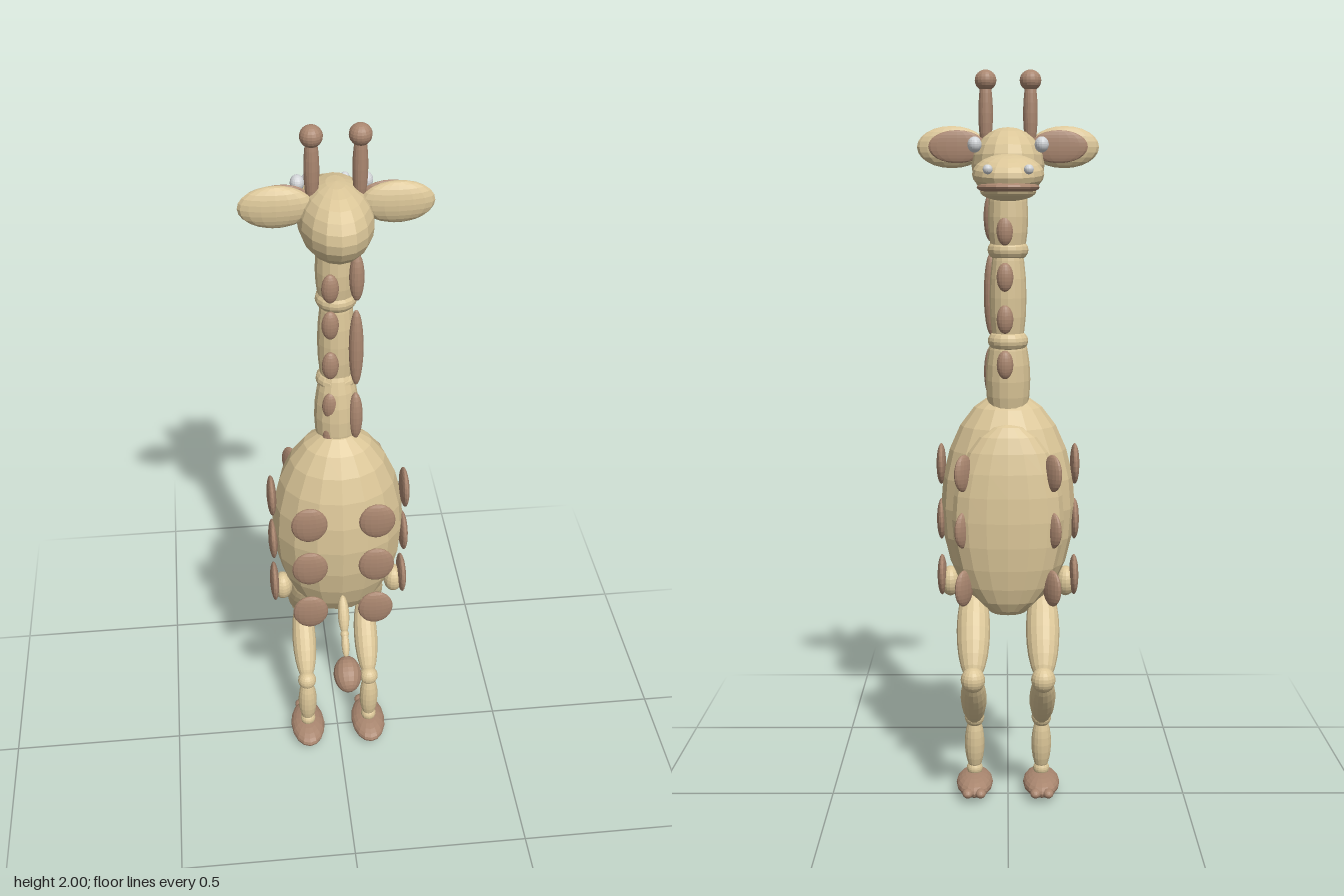
import * as THREE from 'three';

const make = (name, color) => {
  const m = new THREE.MeshStandardMaterial({ color });
  m.name = name;
  m.flatShading = true;
  return m;
};

export function createModel() {
  const model = new THREE.Group();
  model.name = 'giraffe';
  const tan = make('tan hide', 0xdbc698);
  const brown = make('brown patch', 0xa9866f);
  const white = make('eye white', 0xd2d5d8);

  // Every part is a faceted ellipsoid
  const ball = new THREE.SphereGeometry(1, 16, 12);
  const blob = (name, mat, pos, radii, rotX = 0, rotY = 0) => {
    const mesh = new THREE.Mesh(ball, mat);
    mesh.name = name;
    mesh.position.set(...pos);
    mesh.scale.set(...radii);
    mesh.rotation.set(rotX, rotY, 0);
    model.add(mesh);
    return mesh;
  };
  // Ellipsoid stretched between two points
  const limb = (name, mat, from, to, rx, rz = rx) => {
    const a = new THREE.Vector3(...from), b = new THREE.Vector3(...to);
    const mesh = blob(name, mat, a.clone().add(b).multiplyScalar(0.5).toArray(), [rx, a.distanceTo(b) / 2, rz]);
    mesh.quaternion.setFromUnitVectors(new THREE.Vector3(0, 1, 0), b.sub(a).normalize());
  };

  // Torso and belly
  blob('body', tan, [0, 0.845, 0], [0.183, 0.315, 0.155]);
  blob('belly', tan, [0, 0.825, -0.1], [0.15, 0.26, 0.065], 0.02);

  // Neck segments and joints
  limb('neckLower', tan, [0, 1.03, -0.015], [0, 1.36, -0.03], 0.06);
  limb('neckMiddle', tan, [0, 1.22, -0.033], [0, 1.61, -0.037], 0.049);
  limb('neckUpper', tan, [0, 1.47, -0.037], [0, 1.78, -0.035], 0.053);
  for (const y of [1.3, 1.54]) blob('neckJoint', tan, [0, y, -0.035], [0.054, 0.035, 0.052]);

  // Mane strips beside the neck
  for (const [top, bottom] of [[1.69, 1.56], [1.53, 1.31], [1.28, 1.14]])
    limb('mane', brown, [0.046, bottom, 0.02], [0.046, top, 0.014], 0.019);

  // Neck patches on both faces
  for (const y of [1.595, 1.49, 1.37, 1.245, 1.15]) blob('neckPatchBack', brown, [-0.02, y, 0.017], [0.022, 0.04, 0.016]);
  for (const y of [1.59, 1.47, 1.36, 1.24]) blob('neckPatchFront', brown, [0.008, y, -0.08], [0.022, 0.038, 0.016]);

  // Head, muzzle and mouth
  blob('head', tan, [0, 1.758, -0.04], [0.095, 0.097, 0.15]);
  blob('muzzle', tan, [0, 1.732, -0.208], [0.09, 0.049, 0.105], -0.12);
  blob('mouth', brown, [0, 1.7, -0.235], [0.078, 0.018, 0.083]);
  blob('lowerJaw', tan, [0, 1.69, -0.215], [0.07, 0.024, 0.085]);

  for (const s of [-1, 1]) {
    // Face details, ears and horns
    blob('eye', white, [s * 0.085, 1.807, -0.139], [0.018, 0.02, 0.021]);
    blob('nostril', white, [s * 0.05, 1.742, -0.297], [0.012, 0.012, 0.012]);
    blob('ear', tan, [s * 0.147, 1.805, -0.019], [0.091, 0.054, 0.026]);
    blob('innerEar', brown, [s * 0.132, 1.805, -0.05], [0.075, 0.042, 0.009]);
    limb('horn', brown, [s * 0.058, 1.79, -0.035], [s * 0.058, 1.99, -0.035], 0.019);
    blob('hornTip', brown, [s * 0.058, 1.973, -0.035], [0.028, 0.027, 0.028]);

    // Body patches: back, flank and belly edge
    for (const y of [0.957, 0.803, 0.643]) {
      blob('backPatch', brown, [s * 0.091, y, 0.153], [0.049, 0.056, 0.014]);
      blob('flankPatch', brown, [s * 0.183, y, 0.015], [0.013, 0.056, 0.055]);
      blob('bellyPatch', brown, [s * 0.118, y, -0.128], [0.035, 0.05, 0.014], 0, s * 0.9);
    }

    // Bent leg with joints and hoof
    const x = s * 0.095;
    blob('hip', tan, [s * 0.16, 0.625, 0.015], [0.028, 0.042, 0.035]);
    limb('thigh', tan, [x, 0.63, 0.015], [x, 0.385, -0.155], 0.046, 0.042);
    blob('knee', tan, [x, 0.395, -0.155], [0.033, 0.035, 0.033]);
    limb('shin', tan, [x, 0.41, -0.16], [x, 0.215, 0.015], 0.036);
    blob('ankle', tan, [x, 0.225, 0.015], [0.028, 0.028, 0.028]);
    limb('lowerLeg', tan, [x, 0.23, 0.018], [x, 0.06, 0.025], 0.028);
    blob('fetlock', tan, [x, 0.068, 0.025], [0.023, 0.022, 0.023]);
    blob('hoof', brown, [x, 0.03, 0.015], [0.052, 0.03, 0.092]);
    for (const t of [-1, 1]) blob('toe', brown, [x + t * 0.018, 0.03, -0.068], [0.015, 0.013, 0.018]);
  }

  // Tail with tuft
  limb('tailUpper', tan, [0, 0.68, 0.135], [0, 0.585, 0.195], 0.016);
  limb('tailLower', tan, [0, 0.6, 0.19], [0, 0.535, 0.24], 0.011);
  blob('tailJoint', tan, [0, 0.588, 0.196], [0.012, 0.012, 0.012]);
  limb('tailTuft', brown, [0, 0.535, 0.23], [0, 0.478, 0.315], 0.039);

  return model;
}
